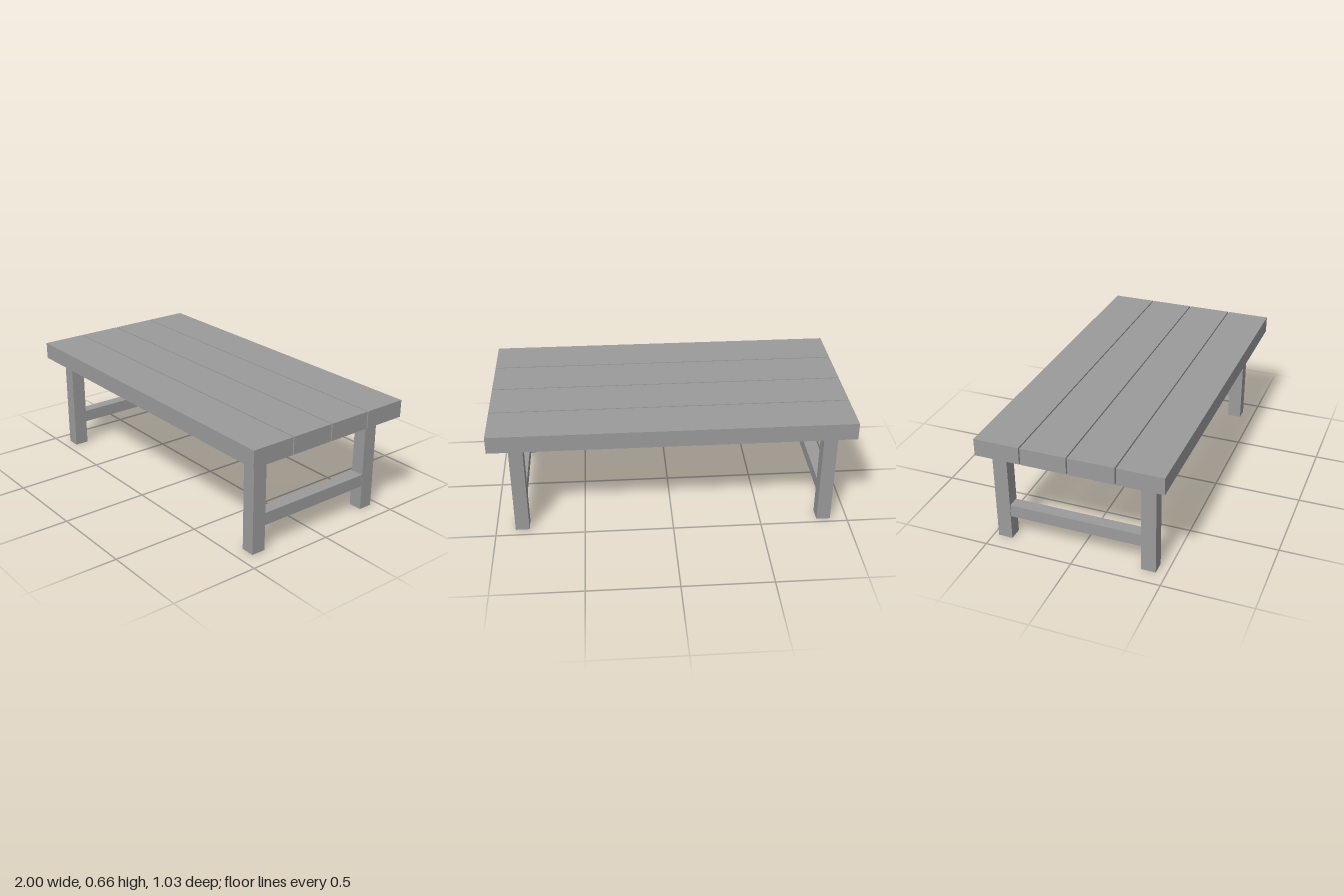
import * as THREE from 'three';

const TOP_Y = 0.562, TOP_H = 0.097, LENGTH = 2;
const PLANKS = 4, PLANK_W = 0.253, PITCH = 0.2602;
const LEG_X = 0.078, LEG_Z = 0.082;
const RAIL_X = 0.068, RAIL_Y = 0.178, RAIL_H = 0.071;

export function createModel() {
  const group = new THREE.Group();
  group.name = 'plankTable';
  const wood = new THREE.MeshStandardMaterial({ color: 0x9b9b9b, flatShading: true });

  const box = (name, w, h, d, x, y, z) => {
    const mesh = new THREE.Mesh(new THREE.BoxGeometry(w, h, d), wood);
    mesh.name = name;
    mesh.position.set(x, y, z);
    group.add(mesh);
  };

  // Tabletop: four long planks with narrow gaps
  for (let i = 0; i < PLANKS; i++) {
    box(`topPlank${i + 1}`, LENGTH, TOP_H, PLANK_W,
      0, TOP_Y + TOP_H / 2, ((PLANKS - 1) / 2 - i) * PITCH);
  }

  // End frames: two legs joined by a low rail, each set slightly off square
  const ends = [
    { side: 'left', frontX: 0.857, backX: 0.853, railX: 0.856, frontZ: 0.383, backZ: -0.411 },
    { side: 'right', frontX: -0.87, backX: -0.865, railX: -0.866, frontZ: 0.402, backZ: -0.431 },
  ];
  for (const { side, frontX, backX, railX, frontZ, backZ } of ends) {
    box(`${side}FrontLeg`, LEG_X, TOP_Y, LEG_Z, frontX, TOP_Y / 2, frontZ);
    box(`${side}BackLeg`, LEG_X, TOP_Y, LEG_Z, backX, TOP_Y / 2, backZ);
    box(`${side}Rail`, RAIL_X, RAIL_H, frontZ - backZ - LEG_Z,
      railX, RAIL_Y, (frontZ + backZ) / 2);
  }
  return group;
}
